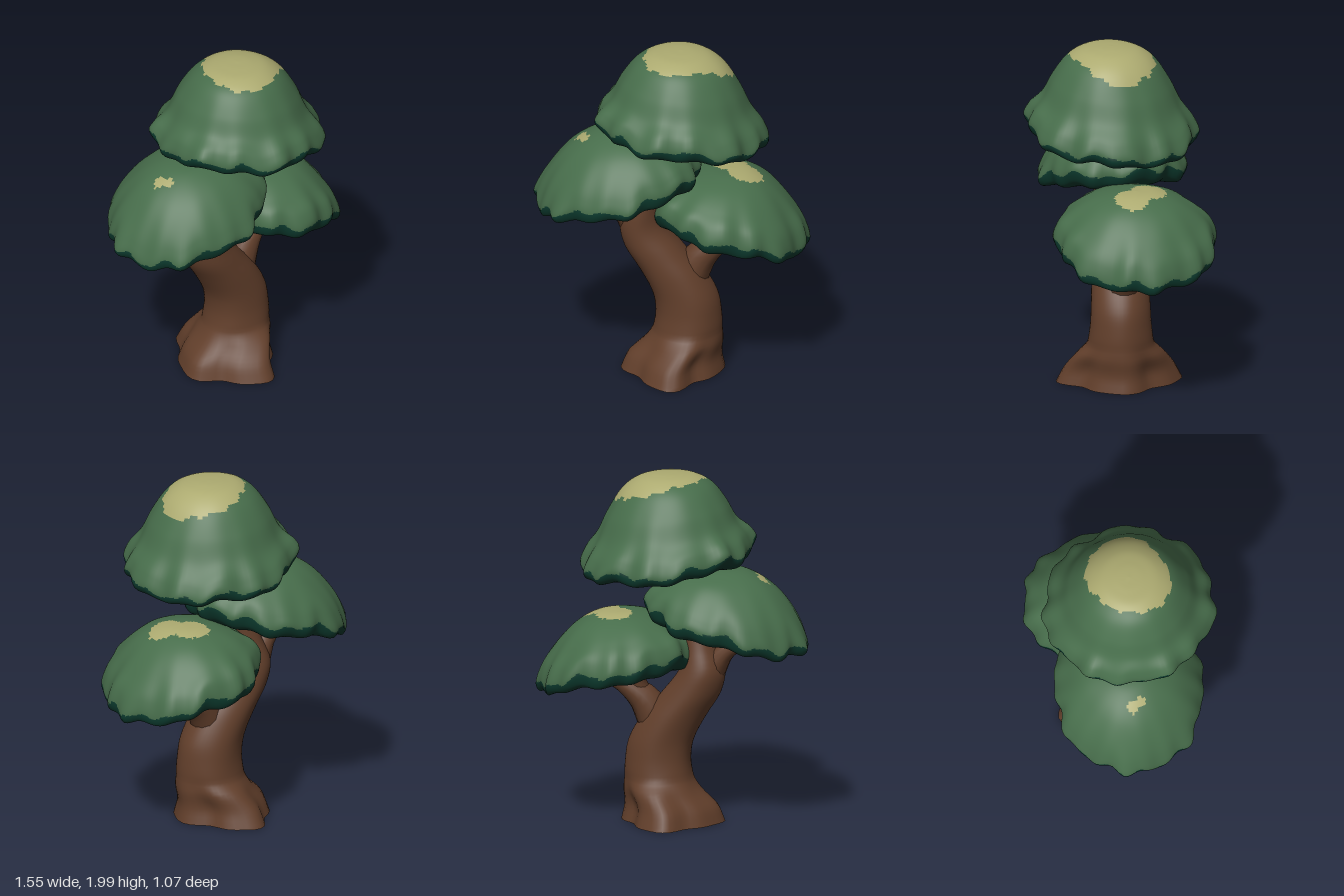
import * as THREE from 'three';

const mat = (name, color) => Object.assign(new THREE.MeshStandardMaterial({ color }), { name });
const V = (x, y, z) => new THREE.Vector3(x, y, z);

// Closed-around surface: rows run from the underside outward and up, columns run round.
// pick(point, row) returns the material slot of a face.
function loft(rows, cols, at, pick = () => 0) {
  const pos = [], slots = [[], [], []];
  for (let i = 0; i <= rows; i++)
    for (let j = 0; j < cols; j++) pos.push(...at(i / rows, (j / cols) * Math.PI * 2).toArray());
  const point = (k) => V(pos[3 * k], pos[3 * k + 1], pos[3 * k + 2]);
  for (let i = 0; i < rows; i++)
    for (let j = 0; j < cols; j++) {
      const a = i * cols + j, b = i * cols + ((j + 1) % cols), c = a + cols, d = b + cols;
      const mid = point(a).add(point(b)).add(point(c)).add(point(d)).multiplyScalar(0.25);
      slots[pick(mid, (i + 0.5) / rows)].push(a, c, b, b, c, d);
    }
  const geo = new THREE.BufferGeometry();
  geo.setAttribute('position', new THREE.Float32BufferAttribute(pos, 3));
  geo.setIndex(slots.flat());
  let start = 0;
  slots.forEach((s, m) => {
    if (s.length) geo.addGroup(start, s.length, m);
    start += s.length;
  });
  geo.computeVertexNormals();
  return geo;
}

// Tapering branch; each point is [x, y, z, radius]
function limb(points) {
  const segs = 16, sides = 14;
  const curve = new THREE.CatmullRomCurve3(points.map((p) => V(p[0], p[1], p[2])));
  const geo = new THREE.TubeGeometry(curve, segs, 1, sides);
  const pos = geo.attributes.position, p = V();
  for (let i = 0; i < pos.count; i++) {
    const u = Math.floor(i / (sides + 1)) / segs, centre = curve.getPointAt(u);
    const f = curve.getUtoTmapping(u) * (points.length - 1), k = Math.min(Math.floor(f), points.length - 2);
    const r = THREE.MathUtils.lerp(points[k][3], points[k + 1][3], f - k);
    p.fromBufferAttribute(pos, i).sub(centre).multiplyScalar(r).add(centre);
    pos.setXYZ(i, p.x, p.y, p.z);
  }
  return geo;
}

// Domed foliage pad: profile of [radius fraction, height], sloped and drooping towards its lumpy rim
function canopy({ centre, rx, rz, slopeX, slopeZ, droop = 0, profile, seed, patches }) {
  const curve = new THREE.CatmullRomCurve3(profile.map(([r, h]) => V(r, h, 0)));
  const lump = (a) => 0.5 * Math.sin(7 * a + seed) + 0.4 * Math.sin(13 * a + seed * 2.3) + 0.3 * Math.sin(19 * a + seed * 5);
  const at = (t, a) => {
    const { x, y } = curve.getPoint(t), r = Math.max(x, 0);
    const spread = r * (1 + 0.045 * r ** 8 * lump(a));
    const dx = Math.cos(a) * spread * rx, dz = Math.sin(a) * spread * rz;
    const sag = r ** 6 * (0.014 * Math.sin(5 * a + seed) + 0.014 * Math.sin(13 * a + seed * 3));
    const bump = 0.009 * r * r * Math.sin(14 * dx + seed) * Math.sin(17 * dz + 9 * y);
    const tilt = r * (slopeX * dx + slopeZ * dz) - droop * dx * dx;
    return V(centre[0] + dx, centre[1] + y + tilt + sag + bump, centre[2] + dz);
  };
  const rim = profile.findIndex(([r]) => r === 1) / (profile.length - 1);
  const pick = (p, t) => {
    const a = Math.atan2((p.z - centre[2]) / rz, (p.x - centre[0]) / rx);
    if (t < rim + 0.012 * Math.sin(9 * a + seed) + 0.01 * Math.sin(23 * a)) return 1;
    const lit = patches.some(([x, z, r]) => {
      const b = Math.atan2(p.z - z, p.x - x);
      return Math.hypot(p.x - x, p.z - z) < r * (1 + 0.04 * Math.sin(3 * b + seed) + 0.03 * Math.sin(11 * b));
    });
    return lit ? 2 : 0;
  };
  return loft(78, 116, at, pick);
}

export function createModel() {
  const tree = new THREE.Group();
  tree.name = 'tree';
  const bark = mat('bark brown', 0x623f2b);
  bark.side = THREE.DoubleSide; // the trunk is open underneath
  const leaves = [mat('leaf green', 0x476d4b), mat('shaded leaf green', 0x0c392d), mat('sunlit leaf yellow', 0xacaa70)];
  const add = (name, geo, material) => {
    const mesh = new THREE.Mesh(geo, material);
    mesh.name = name;
    tree.add(mesh);
  };

  // Trunk sections: x, y, z, half width, half depth
  const sections = [
    [0.01, 0.01, 0, 0.29, 0.355], [0.02, 0.1, 0, 0.262, 0.31], [0.07, 0.19, 0, 0.22, 0.25], [0.09, 0.26, 0, 0.196, 0.188],
    [0.095, 0.37, 0, 0.186, 0.173], [0.075, 0.48, 0, 0.184, 0.167], [0, 0.62, 0, 0.18, 0.16],
    [-0.1, 0.76, 0, 0.165, 0.15], [-0.16, 0.89, 0, 0.13, 0.135], [-0.145, 1.02, 0.02, 0.1, 0.115],
    [-0.09, 1.18, 0.04, 0.095, 0.1], [0, 1.32, 0.06, 0.085, 0.08], [0.05, 1.44, 0.06, 0.09, 0.085], [0.08, 1.56, 0.06, 0.06, 0.06],
  ];
  const spine = new THREE.CatmullRomCurve3(sections.map((s) => V(s[0], s[1], s[2])));
  const girth = new THREE.CatmullRomCurve3(sections.map((s) => V(s[3], s[4], 0)));
  const trunkAt = (t, a) => {
    const c = spine.getPoint(t), g = girth.getPoint(t);
    // Hollows between the roots fade out above the base
    const flare = 1 - THREE.MathUtils.smoothstep(c.y, 0.08, 0.3);
    const k = 1 - flare * (0.1 * (1 - Math.cos(4 * a)) + 0.03 * Math.sin(8 * a)) + 0.01 * Math.sin(5 * a + 6 * c.y);
    return V(c.x + Math.cos(a) * g.x * k, c.y, c.z + Math.sin(a) * g.y * k);
  };
  add('trunk', loft(52, 48, trunkAt), bark);

  // Branches reaching into each pad
  const branches = {
    rightBranch: [[0.03, 0.4, 0, 0.09], [0.1, 0.57, -0.01, 0.108], [0.17, 0.7, -0.02, 0.092], [0.28, 0.78, -0.03, 0.055], [0.38, 0.83, -0.04, 0.04], [0.5, 0.88, -0.05, 0.04]],
    rightTwig: [[0.18, 0.72, -0.02, 0.06], [0.2, 0.82, -0.04, 0.042], [0.17, 0.94, -0.06, 0.06]],
    leftBranch: [[-0.08, 0.68, 0, 0.08], [-0.165, 0.81, 0, 0.1], [-0.225, 0.91, 0, 0.083], [-0.3, 1.0, 0.01, 0.05], [-0.4, 1.055, 0.02, 0.035], [-0.54, 1.12, 0.03, 0.035]],
    leftTwig: [[-0.36, 1.03, 0.02, 0.03], [-0.38, 1.08, 0.02, 0.025], [-0.36, 1.15, 0.02, 0.03]],
    topTwig: [[0.02, 1.35, 0.06, 0.065], [0.14, 1.41, 0.05, 0.055], [0.3, 1.46, 0.04, 0.035]],
  };
  for (const [name, points] of Object.entries(branches)) add(name, limb(points), bark);

  // Foliage pads
  add('topCanopy', canopy({
    centre: [0.06, 1.53, 0.05], rx: 0.485, rz: 0.48, slopeX: -0.12, slopeZ: 0.08, seed: 1.3,
    profile: [[0, -0.03], [0.5, -0.045], [0.88, -0.06], [0.97, -0.04], [1, 0], [0.95, 0.07], [0.81, 0.16], [0.7, 0.27], [0.54, 0.385], [0.36, 0.445], [0.18, 0.465], [0, 0.47]],
    patches: [[0.13, 0.025, 0.215], [0.06, 0.075, 0.212]],
  }), leaves);
  add('leftCanopy', canopy({
    centre: [-0.3, 1.15, 0.02], rx: 0.465, rz: 0.42, slopeX: 0.24, slopeZ: -0.03, seed: 4.1,
    profile: [[0, -0.03], [0.5, -0.04], [0.9, -0.055], [0.97, -0.035], [1, 0.01], [0.95, 0.08], [0.83, 0.165], [0.62, 0.255], [0.3, 0.32], [0, 0.335]],
    patches: [[-0.51, 0.025, 0.032], [-0.485, 0.075, 0.028]],
  }), leaves);
  add('rightCanopy', canopy({
    centre: [0.325, 0.925, -0.07], rx: 0.435, rz: 0.455, slopeX: -0.23, slopeZ: 0.03, droop: 0.2, seed: 2.2,
    profile: [[0, -0.05], [0.5, -0.05], [0.9, -0.06], [0.97, -0.04], [1, 0.01], [0.95, 0.09], [0.8, 0.165], [0.56, 0.245], [0.28, 0.29], [0, 0.3]],
    patches: [[0.41, -0.05, 0.1], [0.31, -0.15, 0.1]],
  }), leaves);
  return tree;
}
